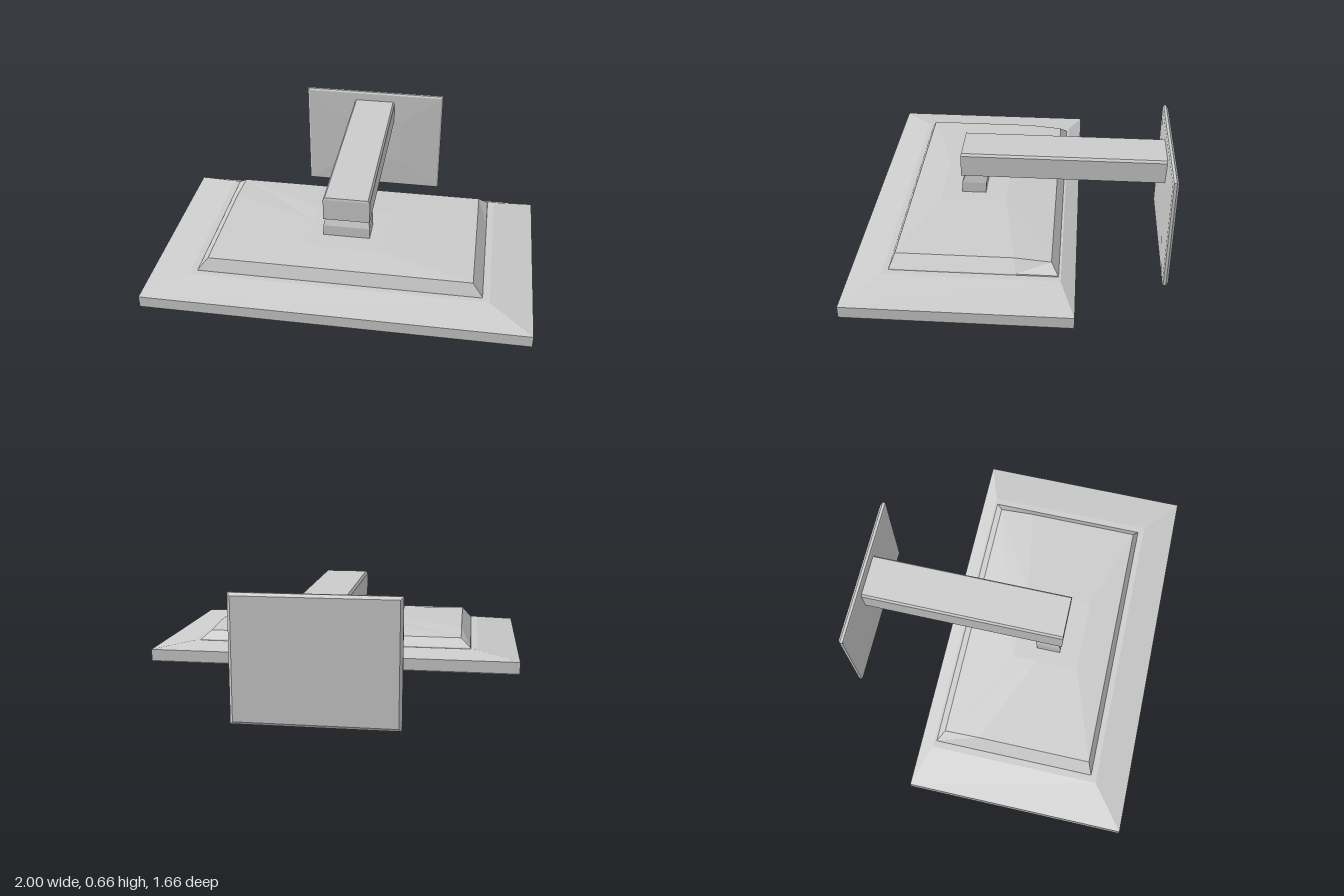
import * as THREE from 'three';

const material = new THREE.MeshStandardMaterial({ color: 0xcccccc, flatShading: true });

// Skin a stack of equal-length point rings (counter-clockwise from above) and cap both ends
function loft(rings) {
  const n = rings[0].length, last = (rings.length - 1) * n, index = [];
  for (let r = 0; r < rings.length - 1; r++) {
    for (let i = 0; i < n; i++) {
      const a = r * n + i, b = r * n + (i + 1) % n;
      index.push(a, b, b + n, a, b + n, a + n);
    }
  }
  for (let i = 1; i < n - 1; i++) {
    index.push(0, i + 1, i, last, last + i, last + i + 1);
  }
  const geo = new THREE.BufferGeometry();
  geo.setAttribute('position', new THREE.Float32BufferAttribute(rings.flat(2), 3));
  geo.setIndex(index);
  const flat = geo.toNonIndexed();
  flat.computeVertexNormals();
  return flat;
}

// Rectangle ring of half width x between zBack and zFront
const rect = (x, zBack, zFront, y) =>
  [[x, y, zFront], [x, y, zBack], [-x, y, zBack], [-x, y, zFront]];

// Rectangle ring with an extra point on each side, and its own height at the back
const sixRing = (x, zBack, zMid, zFront, y, yBack = y) => [
  [x, y, zFront], [x, y, zMid], [x, yBack, zBack],
  [-x, yBack, zBack], [-x, y, zMid], [-x, y, zFront]];

export function createModel() {
  const group = new THREE.Group();
  const add = (name, geo) => {
    const mesh = new THREE.Mesh(geo, material);
    mesh.name = name;
    group.add(mesh);
    return mesh;
  };

  // Wide spray plate with a sloping upper border
  add('sprayPlate', loft([
    rect(0.995, -0.32, 0.825, 0.17),
    rect(1, -0.325, 0.83, 0.177),
    rect(1, -0.325, 0.83, 0.24),
    rect(0.78, -0.25, 0.655, 0.282),
  ]));

  // Raised housing with bevelled sides and a shallow faceted crown
  add('headHousing', loft([
    sixRing(0.745, -0.24, -0.02, 0.625, 0.275),
    sixRing(0.742, -0.237, -0.02, 0.622, 0.288),
    sixRing(0.69, -0.2, -0.01, 0.595, 0.35, 0.333),
    sixRing(0.2, 0.07, 0.2, 0.43, 0.365),
  ]));

  // Neck joining head and arm
  add('neck', loft([
    rect(0.125, 0.19, 0.32, 0.35),
    rect(0.125, 0.185, 0.32, 0.425),
    rect(0.115, 0.175, 0.3, 0.475),
  ]));

  // Horizontal arm with slightly eased upper edges
  add('arm', loft([
    rect(0.125, -0.8, 0.325, 0.47),
    rect(0.125, -0.8, 0.325, 0.592),
    rect(0.115, -0.8, 0.322, 0.605),
  ]));

  // Wall plate, lofted flat from back to front and then stood upright
  const plate = add('wallPlate', loft([
    rect(0.41, -0.315, 0.315, -0.83),
    rect(0.425, -0.33, 0.33, -0.817),
    rect(0.425, -0.33, 0.33, -0.802),
    rect(0.415, -0.32, 0.32, -0.796),
    rect(0.18, -0.14, 0.14, -0.79),
  ]));
  plate.rotation.x = Math.PI / 2;
  plate.position.y = 0.33;

  return group;
}
